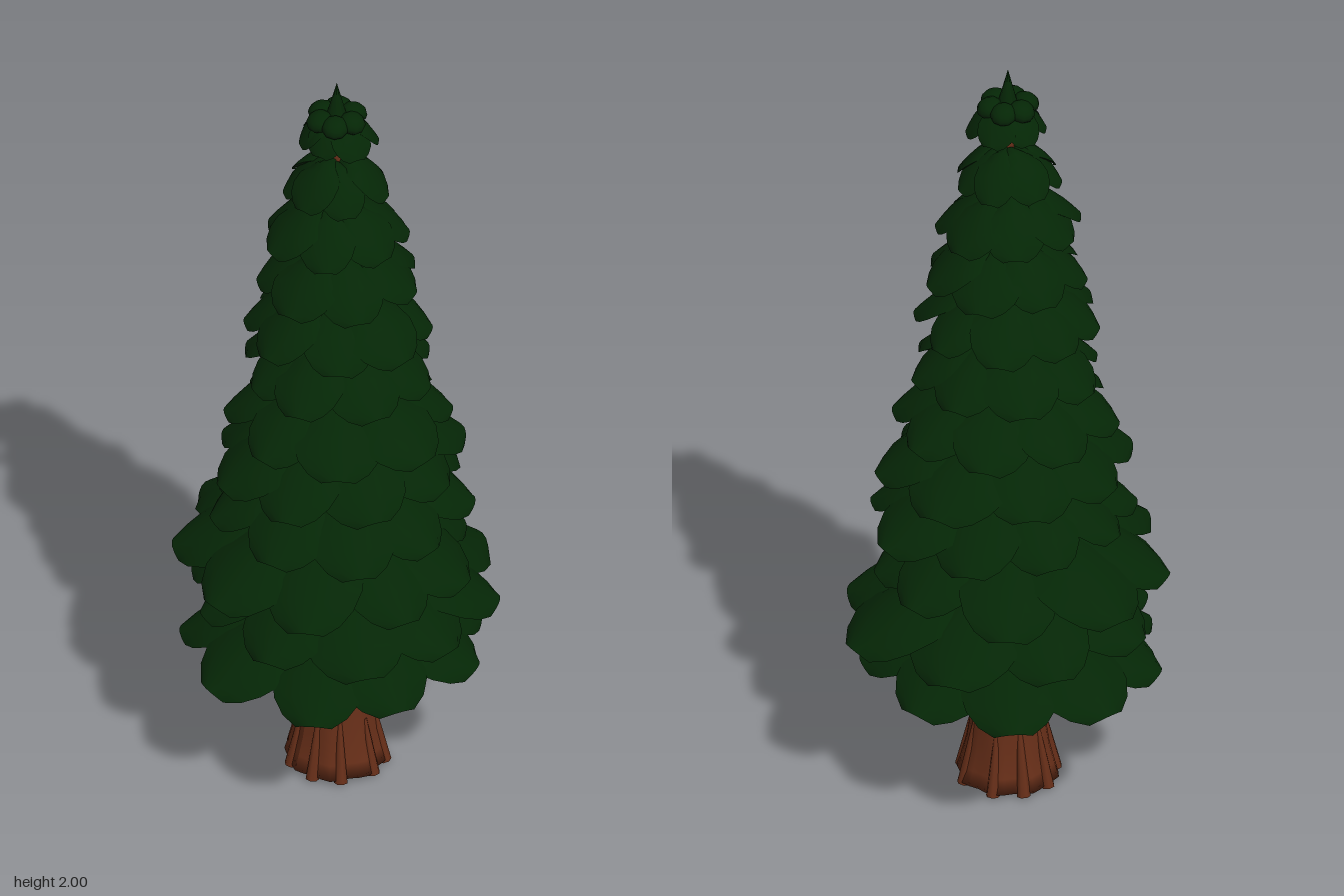
import * as THREE from 'three';
import { mergeGeometries } from 'three/addons/utils/BufferGeometryUtils.js';

const AXIS_X = 0.022, AXIS_Z = 0.012;

// Small seeded generator for natural variation
function seeded(seed) {
  let s = seed;
  return () => (s = (s * 16807) % 2147483647) / 2147483647;
}

// Half-width of a bough along its length, as a share of its widest point
const OUTLINE = [[0, 0.22], [0.15, 0.45], [0.32, 0.75], [0.5, 0.95], [0.68, 1], [0.82, 0.9], [0.93, 0.68], [1, 0.38]];

// One drooping, domed bough pointing along +x; its tip is at y = 0
function boughGeometry(length, halfWidth, height) {
  const cols = 6, pos = [], idx = [];
  const layer = (under) => {
    const base = pos.length / 3;
    OUTLINE.forEach(([u, share]) => {
      const dip = u < 0.3 ? 0.16 * (1 - u / 0.3) ** 2 : 0;
      const spine = height * (1 - u ** 1.9 - dip);
      const thick = under ? 0.45 * height * Math.sin(Math.PI * u) : 0;
      for (let j = 0; j <= cols; j++) {
        const v = (j / cols) * 2 - 1;
        const round = 1 - 0.05 * v * v * u;
        const y = spine - 0.55 * halfWidth * v * v * (1 - 0.75 * u) - thick * (1 - v * v);
        pos.push(length * u * round, y, halfWidth * share * v);
      }
    });
    for (let i = 0; i < OUTLINE.length - 1; i++) {
      for (let j = 0; j < cols; j++) {
        const a = base + i * (cols + 1) + j, b = a + cols + 1;
        if (under) idx.push(a, b, a + 1, a + 1, b, b + 1);
        else idx.push(a, a + 1, b, a + 1, b + 1, b);
      }
    }
  };
  layer(false);
  layer(true);
  const g = new THREE.BufferGeometry();
  g.setAttribute('position', new THREE.Float32BufferAttribute(pos, 3));
  g.setIndex(idx);
  g.computeVertexNormals();
  return g;
}

// Ring of boughs; reach is given towards left (+x), right (-x), front and back
function tierGeometry(tier, index, rand) {
  const [y, height, left, right, front, back, count] = tier;
  const boughs = [];
  for (let k = 0; k < count; k++) {
    const angle = ((k + (index % 2) * 0.5 + (rand() - 0.5) * 0.2) / count) * Math.PI * 2 + 0.52;
    const c = Math.cos(angle), s = -Math.sin(angle);
    const reachX = c > 0 ? left - AXIS_X : right + AXIS_X;
    const reachZ = s > 0 ? front - AXIS_Z : back + AXIS_Z;
    const reach = (reachX * c * c + reachZ * s * s) * (0.98 + rand() * 0.06);
    const halfWidth = reach * (2.6 / count) * (1.05 + rand() * 0.2);
    const g = boughGeometry(reach, halfWidth, height * (0.95 + rand() * 0.08));
    g.rotateX((rand() - 0.5) * 0.2);
    g.rotateY(angle);
    g.translate(AXIS_X, y + rand() * 0.01, AXIS_Z);
    boughs.push(g);
  }
  return mergeGeometries(boughs);
}

export function createModel() {
  const tree = new THREE.Group();
  tree.name = 'coniferTree';
  const needles = new THREE.MeshStandardMaterial({ color: 0x052606, side: THREE.DoubleSide });
  needles.name = 'dark green needles';
  const bark = new THREE.MeshStandardMaterial({ color: 0x662e18 });
  bark.name = 'red brown bark';
  const add = (name, geometry, material) => {
    const mesh = new THREE.Mesh(geometry, material);
    mesh.name = name;
    tree.add(mesh);
    return mesh;
  };
  const rand = seeded(4217);

  // Trunk: tapered, with a lobed flare at the foot
  const profile = [[0, 0.012], [0.122, 0.012], [0.112, 0.05], [0.1, 0.1], [0.089, 0.18], [0.08, 0.28],
    [0.073, 0.4], [0.056, 0.7], [0.04, 1.05], [0.026, 1.45], [0.014, 1.8], [0, 1.9]];
  const trunk = new THREE.LatheGeometry(profile.map(([r, y]) => new THREE.Vector2(r, y)), 32);
  const p = trunk.attributes.position;
  for (let i = 0; i < p.count; i++) {
    const a = Math.atan2(p.getZ(i), p.getX(i)), flare = Math.max(0, 1 - p.getY(i) / 0.25);
    const k = 1 + 0.05 * flare * Math.cos(8 * a);
    p.setX(i, p.getX(i) * k);
    p.setZ(i, p.getZ(i) * k);
  }
  trunk.computeVertexNormals();
  trunk.translate(AXIS_X, 0, AXIS_Z);
  add('trunk', trunk, bark);

  // Root ridges leaning out at the foot of the trunk
  const ridges = [];
  for (let k = 0; k < 9; k++) {
    const top = 0.15 + rand() * 0.06;
    const g = new THREE.CylinderGeometry(0.005, 0.017, top, 7, 3);
    g.translate(0, top / 2, 0);
    g.rotateZ(0.18);
    g.translate(0.117, 0.004, 0);
    g.rotateY(((k + rand() * 0.4) / 9) * Math.PI * 2);
    g.translate(AXIS_X, 0, AXIS_Z);
    ridges.push(g);
  }
  add('rootRidges', mergeGeometries(ridges), bark);

  // Tiers: tip height, rise, reach left, right, front, back, bough count
  const tiers = [
    [0.345, 0.155, 0.365, 0.36, 0.395, 0.36, 9],
    [0.48, 0.155, 0.375, 0.35, 0.355, 0.405, 9],
    [0.615, 0.155, 0.37, 0.38, 0.41, 0.32, 9],
    [0.75, 0.145, 0.335, 0.285, 0.325, 0.335, 9],
    [0.885, 0.14, 0.315, 0.275, 0.315, 0.32, 8],
    [1.015, 0.135, 0.315, 0.255, 0.285, 0.265, 8],
    [1.15, 0.13, 0.265, 0.225, 0.24, 0.235, 8],
    [1.285, 0.125, 0.255, 0.205, 0.24, 0.205, 8],
    [1.415, 0.12, 0.22, 0.165, 0.215, 0.19, 7],
    [1.55, 0.115, 0.185, 0.14, 0.195, 0.165, 7],
    [1.685, 0.105, 0.15, 0.11, 0.145, 0.12, 7],
    [1.825, 0.085, 0.118, 0.076, 0.102, 0.088, 6],
  ];
  tiers.forEach((tier, i) => add(`boughTier${i + 1}`, tierGeometry(tier, i, rand), needles));

  // Crown: small rounded tufts around the leader
  const tufts = [];
  for (let k = 0; k < 6; k++) {
    const angle = (k / 6) * Math.PI * 2 + 0.3;
    const g = new THREE.SphereGeometry(0.033, 10, 7);
    g.scale(1, 0.72, 1);
    g.rotateZ(-0.35);
    g.translate(0.046, 1.9, 0);
    g.rotateY(angle);
    g.translate(AXIS_X, 0, AXIS_Z);
    tufts.push(g);
  }
  add('crownTufts', mergeGeometries(tufts), needles);

  // Pointed leader at the top
  const tip = add('treeTip', new THREE.ConeGeometry(0.032, 0.12, 8), needles);
  tip.position.set(AXIS_X, 1.94, AXIS_Z);

  return tree;
}
